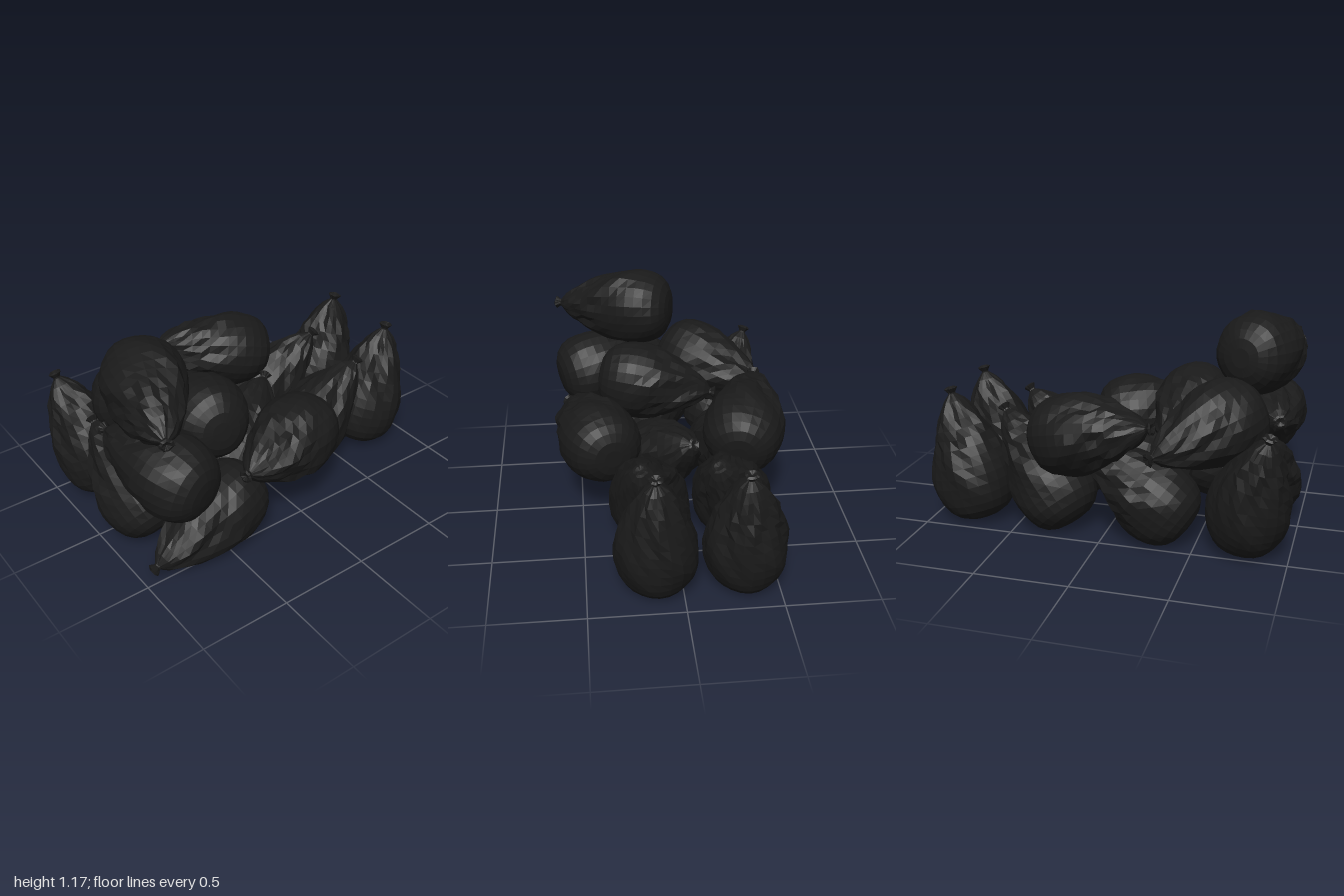
import * as THREE from 'three';

const UP = new THREE.Vector3(0, 1, 0);
const BODY = 0.5; // centre of the belly to the knot, before stretching

// Half outline of a full bag: blunt bottom, belly, heavy shoulder
const outline = new THREE.SplineCurve([
  [0, -0.21], [0.09, -0.205], [0.162, -0.168], [0.206, -0.1], [0.223, 0], [0.213, 0.1],
  [0.182, 0.2], [0.142, 0.3], [0.098, 0.39], [0.058, 0.45], [0.02, 0.485],
].map(([r, y]) => new THREE.Vector2(r, y)));

const profile = outline.getSpacedPoints(17);
profile[0].x = 0;
// Tied knot and the loose flap above it
for (const [r, y] of [[0.02, 0.492], [0.036, 0.515], [0.024, 0.522], [0, 0.51]]) {
  profile.push(new THREE.Vector2(r, y));
}

function seeded(seed) {
  let s = seed * 7919 + 17;
  return () => (s = (s * 16807) % 2147483647) / 2147483647;
}

// One tied bag with its belly around `centre` and its knot at `tip`
function makeBag(name, centre, tip, seed, material) {
  const c = new THREE.Vector3(...centre);
  const axis = new THREE.Vector3(...tip).sub(c);
  const stretch = axis.length() / BODY;
  const turn = new THREE.Quaternion().setFromUnitVectors(UP, axis.normalize());
  const rand = seeded(seed);
  for (let i = 0; i < 5; i++) rand();
  const ph = Array.from({ length: 6 }, () => rand() * Math.PI * 2);

  const geometry = new THREE.LatheGeometry(profile, 24);
  const pos = geometry.attributes.position;
  const v = new THREE.Vector3();
  for (let i = 0; i < pos.count; i++) {
    v.fromBufferAttribute(pos, i);
    const a = Math.atan2(v.x, v.z);
    const y = v.y;
    // Soft dents on the belly, gathered pleats towards the neck
    const pleat = THREE.MathUtils.smoothstep(y, -0.08, 0.35);
    const lumps = 0.015 * Math.cos(2 * a + ph[0] + 5 * y) + 0.016 * Math.cos(3 * a + ph[1] - 9 * y)
      + 0.012 * Math.cos(5 * a + ph[5] + 23 * y);
    const folds = 0.06 * Math.cos(4 * a + ph[2] + 9 * y)
      + 0.06 * Math.cos(7 * a + ph[3] - 6 * y + 2 * Math.sin(14 * y + ph[4]))
      + 0.04 * Math.cos(10 * a + ph[5] + 28 * y);
    const k = 1 + lumps + pleat * folds;
    v.x *= k;
    v.z *= k;
    if (y > 0) v.y *= stretch;
    v.applyQuaternion(turn).add(c);
    v.y = Math.max(v.y, 0); // settles flat on the ground
    pos.setXYZ(i, v.x, v.y, v.z);
  }
  geometry.computeVertexNormals();
  const mesh = new THREE.Mesh(geometry, material);
  mesh.name = name;
  return mesh;
}

export function createModel() {
  const group = new THREE.Group();
  group.name = 'bagPile';
  const material = new THREE.MeshStandardMaterial({ color: 0x1a1a1a, flatShading: true });

  // name, belly centre, knot
  const bags = [
    ['topBag', [0.12, 0.945, 0.73], [0.59, 0.92, 0.9]],
    ['upperFrontBag', [0.405, 0.54, 0.75], [-0.06, 0.62, 0.88]],
    ['upperLeftBag', [-0.22, 0.65, 0.61], [-0.59, 0.54, 0.3]],
    ['upperMiddleBag', [0.16, 0.62, 0.39], [-0.29, 0.56, 0.3]],
    ['sideBagRight', [0.39, 0.46, -0.04], [0.55, 0.48, 0.41]],
    ['sideBagLeft', [-0.4, 0.565, -0.18], [-0.53, 0.68, 0.28]],
    ['frontStandingBag', [-0.395, 0.225, 0.775], [-0.57, 0.69, 0.89]],
    ['frontLeaningBag', [0.085, 0.225, 0.775], [-0.27, 0.54, 0.84]],
    ['lowCornerBag', [0.39, 0.215, 0.435], [0.47, 0.07, 0.93]],
    ['lowMiddleBagLeft', [-0.37, 0.22, 0.29], [-0.36, 0.5, -0.1]],
    ['lowMiddleBagRight', [0.07, 0.22, 0.15], [-0.12, 0.5, -0.21]],
  ];
  // Pairs standing side by side at the back
  for (const [side, x, lean] of [['Left', -0.325, 0.125], ['Right', 0.135, 0.065]]) {
    bags.push(['backBag' + side, [x, 0.215, -0.775], [x + 0.01, 0.72, -0.9]]);
    bags.push(['leaningBag' + side, [x, 0.215, -0.3], [x + lean, 0.61, -0.63]]);
  }

  bags.forEach(([name, centre, tip], i) => group.add(makeBag(name, centre, tip, i + 1, material)));
  return group;
}
